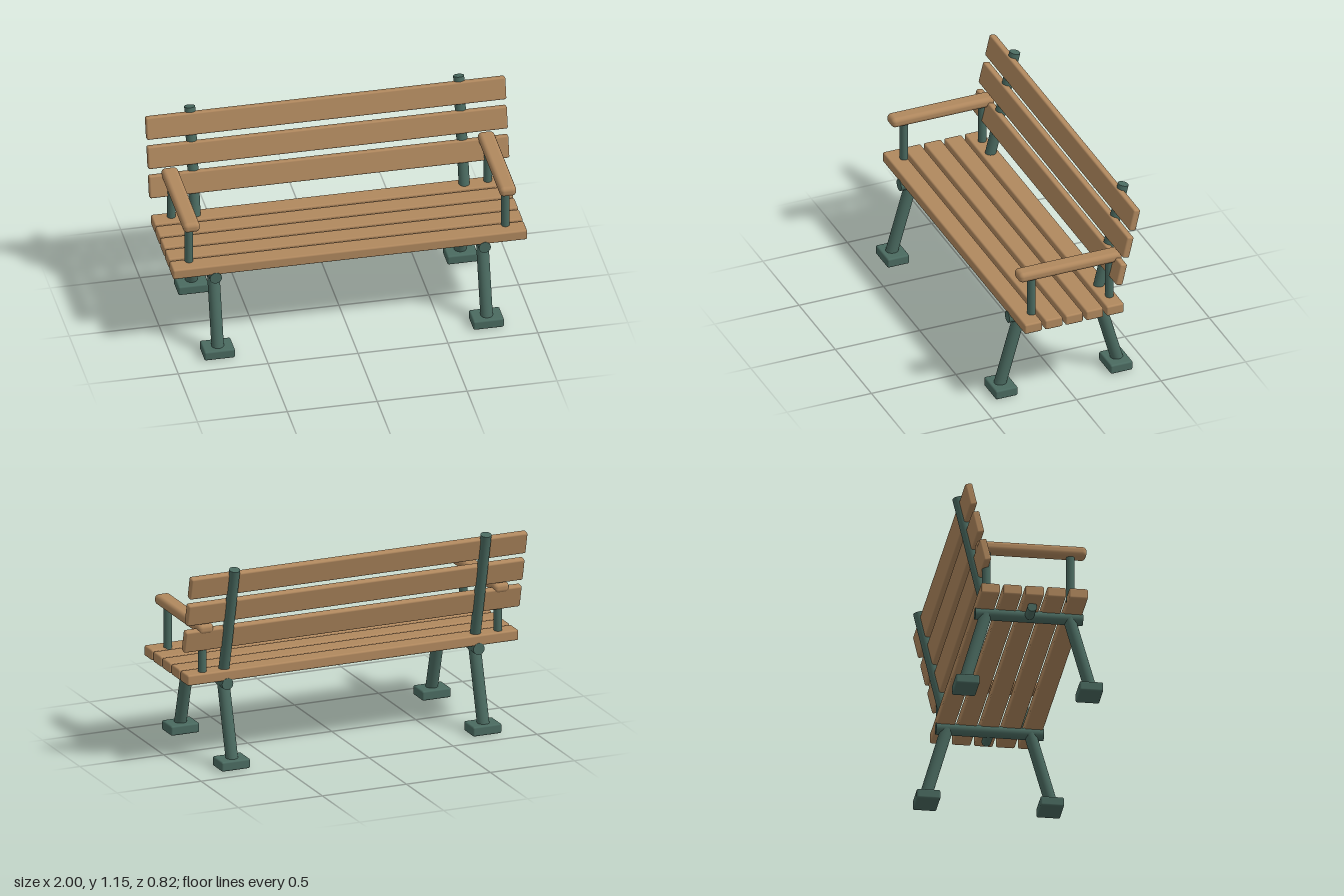
import * as THREE from 'three';
import { RoundedBoxGeometry } from 'three/addons/geometries/RoundedBoxGeometry.js';

export function createModel() {
  const bench = new THREE.Group();
  bench.name = 'parkBench';

  const wood = new THREE.MeshStandardMaterial({ color: 0xb0885e });
  wood.name = 'warm wood';
  const iron = new THREE.MeshStandardMaterial({ color: 0x4a6a60 });
  iron.name = 'green painted iron';

  function add(name, geometry, material) {
    const mesh = new THREE.Mesh(geometry, material);
    mesh.name = name;
    bench.add(mesh);
    return mesh;
  }

  // Box with softened edges
  function block(name, size, position, radius, material) {
    const mesh = add(name, new RoundedBoxGeometry(...size, 3, radius), material);
    mesh.position.set(...position);
    return mesh;
  }

  // Round bar between two points
  function bar(name, from, to, radius) {
    const a = new THREE.Vector3(...from);
    const b = new THREE.Vector3(...to);
    const dir = b.clone().sub(a);
    const mesh = add(name, new THREE.CylinderGeometry(radius, radius, dir.length(), 32), iron);
    mesh.position.copy(a).add(b).multiplyScalar(0.5);
    mesh.quaternion.setFromUnitVectors(new THREE.Vector3(0, 1, 0), dir.normalize());
    return mesh;
  }

  // Seat slats
  for (let i = -2; i <= 2; i++) {
    block('seatSlat', [1.97, 0.06, 0.103], [0, 0.507, i * 0.121 + 0.005], 0.01, wood);
  }

  // Leaning back slats
  const lean = 0.232;
  for (let i = 0; i < 3; i++) {
    const slat = block('backSlat', [2, 0.129, 0.041],
      [0, 0.73 + i * 0.164, -0.268 - i * 0.039], 0.01, wood);
    slat.rotation.x = -lean;
  }

  for (const side of [-1, 1]) {
    const x = side * 0.748;
    const armX = side * 0.88;

    // Frame: rail under the seat, back post and outward stub
    bar('seatRail', [x, 0.459, 0.302], [x, 0.459, -0.29], 0.033);
    bar('backPost', [x, 0.459, -0.222], [x, 1.143, -0.384], 0.03);
    bar('armBracket', [x, 0.458, 0.007], [armX, 0.458, 0.007], 0.026);

    // Splayed legs with feet
    for (const end of [-1, 1]) {
      bar('leg', [x, 0.03, end * 0.351], [x, 0.455, end * 0.23], 0.034);
      block('foot', [0.17, 0.055, 0.13], [x, 0.0275, end * 0.34], 0.01, iron);
    }

    // Armrest on two posts
    bar('frontArmPost', [armX, 0.5, 0.216], [armX, 0.79, 0.216], 0.023);
    bar('rearArmPost', [armX, 0.5, -0.246], [armX, 0.79, -0.246], 0.023);
    block('armrest', [0.092, 0.058, 0.608], [armX, 0.793, -0.002], 0.024, wood);
  }

  return bench;
}
